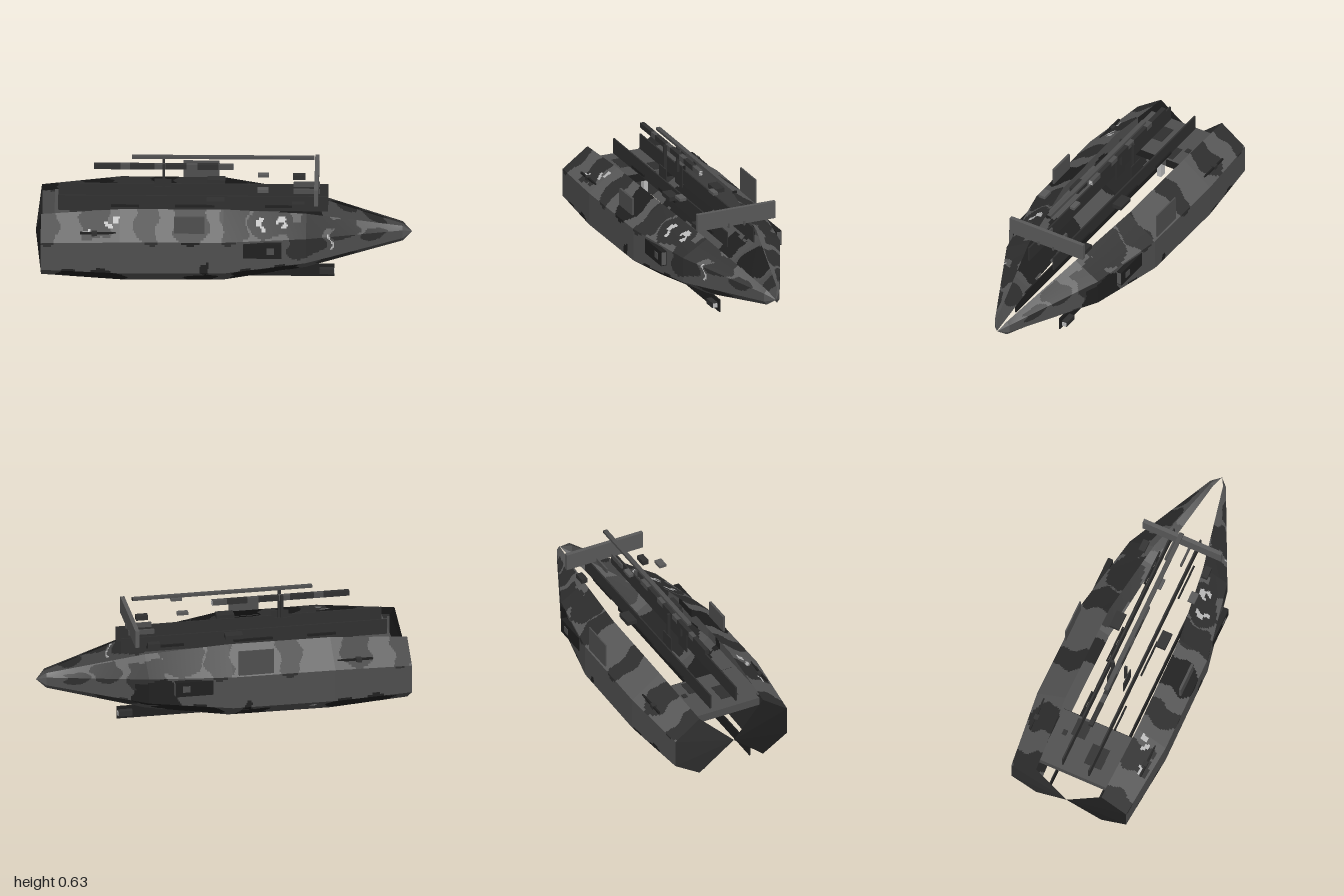
import * as THREE from 'three';

const mat = (name, color) => {
  const m = new THREE.MeshStandardMaterial({ color, side: THREE.DoubleSide });
  m.name = name;
  return m;
};

export function createModel() {
  const root = new THREE.Group();
  root.name = 'twinHullShip';
  const M = {
    mid: mat('midGrey', 0x4e4e4e),
    light: mat('lightGrey', 0x595959),
    dark: mat('darkGrey', 0x2f2f2f),
    black: mat('charcoal', 0x1f1f1f),
    pale: mat('paleGrey', 0xbcbcbc),
  };
  const hullMats = [M.mid, M.light, M.dark, M.black, M.pale];

  // Hull stations: x, side z, edge z, bottom y, side low y, side high y, top y
  const stations = [
    [-1.0, 0, 0, 0.2, 0.2, 0.2, 0.2],
    [-0.97, 0.335, 0.19, 0.03, 0.12, 0.275, 0.38],
    [-0.55, 0.375, 0.21, 0.01, 0.12, 0.3, 0.42],
    [0.0, 0.37, 0.205, 0.01, 0.12, 0.3, 0.42],
    [0.44, 0.285, 0.145, 0.06, 0.145, 0.285, 0.37],
    [0.95, 0.045, 0.03, 0.165, 0.185, 0.23, 0.25],
    [1.0, 0, 0, 0.205, 0.205, 0.205, 0.205],
  ];

  // Camouflage blobs: x, girth position (0 bottom edge .. 3 top edge), radii, colour index
  const shared = [
    [-0.94, 2.6, 0.06, 0.65, 2], [-0.68, 2.6, 0.08, 0.5, 2],
    [0.06, 2.6, 0.07, 0.65, 2], [0.25, 2.6, 0.11, 0.5, 2],
    [0.44, 2.0, 0.1, 0.75, 2], [0.65, 2.4, 0.07, 0.6, 2], [0.8, 2.0, 0.06, 0.5, 2],
    [-0.09, 1.0, 0.022, 0.25, 3], [-0.7, 0.5, 0.18, 0.55, 3], [-0.12, 0.3, 0.08, 0.4, 3],
    [0.22, 0.5, 0.18, 0.5, 3], [0.6, 0.5, 0.1, 0.5, 2],
  ];
  const frontOnly = [
    [-0.41, 2.6, 0.06, 0.65, 2], [-0.17, 2.6, 0.09, 0.65, 3], [0.5, 2.75, 0.1, 0.3, 2],
    [-0.56, 2.75, 0.014, 0.12, 4], [-0.6, 2.5, 0.02, 0.07, 4], [-0.74, 2.4, 0.025, 0.05, 4],
    [0.2, 2.7, 0.014, 0.15, 4], [0.22, 2.45, 0.012, 0.12, 4], [0.3, 2.65, 0.022, 0.12, 4],
    [0.33, 2.45, 0.012, 0.12, 4], [0.57, 1.8, 0.006, 0.35, 4],
  ];
  const rearOnly = [
    [-0.32, 2.6, 0.06, 0.65, 2], [0.4, 1.3, 0.12, 0.6, 3], [-0.45, 0.6, 0.015, 0.12, 4],
  ];
  const paint = (x, v, side) => {
    // Stern cap and bow tip are plain
    if (x < -0.97) return side > 0 ? 3 : 2;
    if (x > 0.95) return 1;
    let c = v > 2 ? 1 : 0;
    const wx = x + 0.014 * Math.sin(v * 7 + x * 9 + side);
    const wv = v + 0.08 * Math.sin(x * 33 + side);
    for (const [bx, bv, rx, rv, col] of [...shared, ...(side > 0 ? frontOnly : rearOnly)]) {
      // Fourth powers give broad, blocky blotches
      if (((wx - bx) / rx) ** 4 + ((wv - bv) / rv) ** 4 < 1) c = col;
    }
    return c;
  };

  // Each hull is an open faceted shell swept through the stations
  const buildHull = (side) => {
    const buckets = hullMats.map(() => []);
    const at = (i, t, k, f) => {
      const s = stations[i].map((a, n) => a + (stations[i + 1][n] - a) * t);
      const ring = [[s[2], s[3]], [s[1], s[4]], [s[1], s[5]], [s[2], s[6]]];
      return [s[0], ring[k][1] + (ring[k + 1][1] - ring[k][1]) * f,
        side * (ring[k][0] + (ring[k + 1][0] - ring[k][0]) * f)];
    };
    const rows = 14;
    for (let i = 0; i < stations.length - 1; i++) {
      const cols = Math.max(2, Math.ceil((stations[i + 1][0] - stations[i][0]) / 0.007));
      for (let c = 0; c < cols; c++) for (let k = 0; k < 3; k++) for (let r = 0; r < rows; r++) {
        const t0 = c / cols, t1 = (c + 1) / cols, f0 = r / rows, f1 = (r + 1) / rows;
        const p = [at(i, t0, k, f0), at(i, t1, k, f0), at(i, t1, k, f1), at(i, t0, k, f1)];
        const b = buckets[paint((p[0][0] + p[1][0]) / 2, k + (f0 + f1) / 2, side)];
        const order = side > 0 ? [0, 1, 2, 0, 2, 3] : [0, 2, 1, 0, 3, 2];
        order.forEach((n) => b.push(...p[n]));
      }
    }
    const g = new THREE.BufferGeometry();
    let start = 0;
    buckets.forEach((b, k) => {
      g.addGroup(start, b.length / 3, k);
      start += b.length / 3;
    });
    g.setAttribute('position', new THREE.Float32BufferAttribute(buckets.flat(), 3));
    g.computeVertexNormals();
    const mesh = new THREE.Mesh(g, hullMats);
    mesh.name = side > 0 ? 'frontHull' : 'rearHull';
    root.add(mesh);
  };
  buildHull(1);
  buildHull(-1);

  // Box given by its limits on each axis
  const box = (name, m, x0, x1, y0, y1, z0, z1) => {
    const mesh = new THREE.Mesh(new THREE.BoxGeometry(x1 - x0, y1 - y0, z1 - z0), m);
    mesh.position.set((x0 + x1) / 2, (y0 + y1) / 2, (z0 + z1) / 2);
    mesh.name = name;
    root.add(mesh);
  };
  const pair = (name, m, x0, x1, y0, y1, z0, z1) => {
    box(name, m, x0, x1, y0, y1, z0, z1);
    box(name, m, x0, x1, y0, y1, -z1, -z0);
  };

  // Stern deck with painted front edge and patches, and its centre post
  box('sternDeck', M.mid, -0.9, -0.585, 0.3, 0.345, -0.205, 0.205);
  box('deckEdgePaint', M.black, -0.586, -0.583, 0.3, 0.345, -0.03, 0.205);
  box('deckEdgePaint', M.black, -0.586, -0.583, 0.3, 0.345, -0.205, -0.08);
  box('deckPaint', M.dark, -0.82, -0.7, 0.344, 0.347, 0.02, 0.12);
  box('deckPaint', M.dark, -0.7, -0.6, 0.344, 0.347, -0.11, -0.03);
  box('deckHatch', M.dark, -0.72, -0.69, 0.345, 0.35, -0.155, -0.13);
  box('sternPost', M.pale, -0.68, -0.64, 0.16, 0.285, -0.012, 0.012);

  // Long plates between the hulls
  pair('deckRail', M.dark, -0.88, 0.555, 0.355, 0.44, 0.073, 0.081);
  pair('keelPlate', M.black, -0.92, 0.59, 0.005, 0.075, 0.134, 0.141);
  for (const [a, b] of [[-0.6, -0.45], [-0.26, -0.05], [0.22, 0.42]]) {
    pair('handRail', M.black, a, b, 0.383, 0.396, 0.095, 0.104);
  }

  // Masts and overhead booms
  pair('mastFoot', M.dark, -0.37, -0.28, 0.36, 0.48, 0.044, 0.05);
  pair('mast', M.dark, -0.327, -0.313, 0.44, 0.605, 0.03, 0.046);
  box('upperBoom', M.mid, -0.49, 0.48, 0.624, 0.638, -0.012, 0.012);
  box('upperBoomEnd', M.black, 0.478, 0.482, 0.624, 0.638, -0.012, 0.012);
  const cuts = [-0.69, -0.55, -0.5, -0.37, -0.31, -0.2, -0.14, -0.03, 0.05];
  for (let i = 0; i < cuts.length - 1; i++) {
    box('lowerBoom', i % 2 ? M.mid : M.dark, cuts[i], cuts[i + 1], 0.562, 0.59, -0.012, 0.012);
  }
  for (let i = 0; i < 3; i++) {
    box('boomEndStripe', M.pale, 0.049, 0.052, 0.564 + i * 0.009, 0.57 + i * 0.009, -0.011, 0.011);
  }
  box('sensorBlock', M.light, 0.18, 0.24, 0.52, 0.536, -0.014, 0.014);
  box('sideSensor', M.light, 0.18, 0.24, 0.52, 0.536, 0.17, 0.21);

  // Bow panel
  box('bowPanel', M.light, 0.482, 0.504, 0.45, 0.545, -0.229, 0.229);

  // Deck lockers
  pair('midLocker', M.dark, -0.09, 0.005, 0.424, 0.447, 0.107, 0.162);
  pair('foreLocker', M.dark, 0.365, 0.43, 0.425, 0.45, 0.165, 0.2);
  pair('foreBracket', M.mid, 0.37, 0.51, 0.442, 0.468, 0.04, 0.05);

  // Outboard panels, pods and stern guns
  box('frontScreen', M.mid, -0.26, -0.1, 0.335, 0.43, 0.32, 0.333);
  box('rearScreen', M.mid, -0.22, -0.03, 0.3, 0.445, -0.364, -0.357);
  pair('sidePod', M.black, 0.105, 0.31, 0.2, 0.283, 0.322, 0.352);
  pair('podHatch', M.mid, 0.23, 0.27, 0.225, 0.26, 0.35, 0.355);
  pair('podEnd', M.light, 0.309, 0.313, 0.206, 0.277, 0.326, 0.349);
  pair('gunMount', M.dark, -0.7, -0.67, 0.3, 0.338, 0.305, 0.33);
  pair('gunBarrel', M.black, -0.76, -0.57, 0.325, 0.336, 0.318, 0.328);

  // Lamps under the bow
  pair('lampHousing', M.dark, 0.51, 0.586, 0.033, 0.062, 0.15, 0.18);
  pair('lampGlass', M.pale, 0.585, 0.59, 0.035, 0.058, 0.153, 0.177);
  return root;
}
